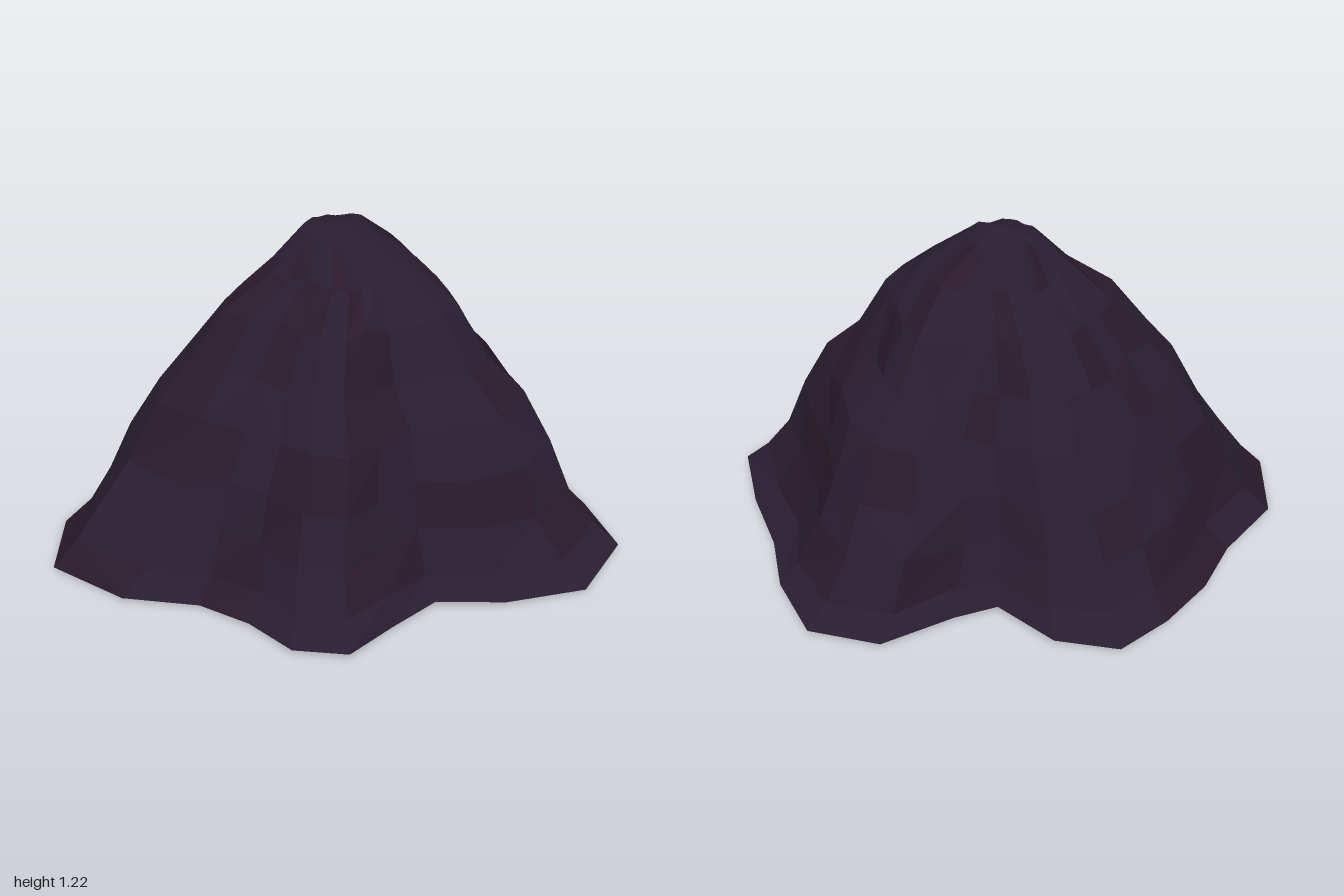
import * as THREE from 'three';

// Hem of the draped cloth: x, z, y
const HEM = [
  [1, 0.02, 0.03], [0.9, 0.26, 0.01], [0.64, 0.39, 0.02], [0.4, 0.44, 0.02], [0.28, 0.6, 0.03], [0.17, 0.76, 0.04],
  [-0.02, 0.77, 0.03], [-0.19, 0.68, 0.03], [-0.38, 0.62, 0.02], [-0.65, 0.64, 0.02], [-0.94, 0.54, 0.02], [-1, 0.28, 0.01],
  [-0.88, 0, 0.03], [-0.83, -0.2, 0.02], [-0.73, -0.4, 0.02], [-0.6, -0.55, 0], [-0.38, -0.59, 0.02], [-0.16, -0.5, 0.03],
  [-0.03, -0.59, 0.03], [0.17, -0.77, 0.03], [0.43, -0.77, 0.02], [0.6, -0.6, 0.03], [0.71, -0.4, 0.02], [0.87, -0.2, 0.02],
];
// Rings going up: height, scale of the hem outline, sideways shift
const RINGS = [
  [0.03, 1, 0], [0.105, 0.9, 0], [0.27, 0.815, -0.01], [0.44, 0.745, 0], [0.63, 0.65, 0.015],
  [0.78, 0.53, 0], [0.95, 0.415, 0.015], [1.07, 0.27, 0.03], [1.185, 0.14, 0],
];
const CX = -0.03, CZ = 0.015, MEAN = 0.76;

function seeded(seed) {
  let s = seed;
  return () => (s = (s * 16807) % 2147483647) / 2147483647;
}

function createCloth(materials) {
  const rand = seeded(4271);
  const grid = RINGS.map(([height, scale, shift], k) => HEM.map(([x, z, y]) => {
    const dx = x - CX, dz = z - CZ, r = Math.hypot(dx, dz);
    const jr = (rand() - 0.5) * 0.04, jy = (rand() - 0.5) * 0.04;
    if (k === 0) return [x, y, z];
    // folds soften towards the peak
    const blend = 0.55 * (k / 8) ** 1.6;
    const f = ((r * (1 - blend) + MEAN * blend) / r) * scale * (1 + jr);
    return [CX + shift + dx * f, height + jy * (k === 8 ? 0.3 : 1), CZ + dz * f];
  }));

  const faces = [[], []];
  const add = (tone, ...points) => points.forEach((p) => faces[tone].push(...p));
  const n = HEM.length;
  for (let k = 0; k < RINGS.length - 1; k++) {
    for (let i = 0; i < n; i++) {
      const j = (i + 1) % n;
      const a = grid[k][i], b = grid[k][j], c = grid[k + 1][j], d = grid[k + 1][i];
      const tone = rand() < 0.28 ? 1 : 0;
      if (rand() < 0.5) {
        add(tone, a, d, b);
        add(tone, b, d, c);
      } else {
        add(tone, a, d, c);
        add(tone, a, c, b);
      }
    }
  }
  // Rounded peak
  const top = grid[RINGS.length - 1];
  for (let i = 0; i < n; i++) add(0, top[i], [-0.02, 1.22, 0.02], top[(i + 1) % n]);

  const cloth = new THREE.Group();
  cloth.name = 'drapedCloth';
  faces.forEach((positions, t) => {
    const geometry = new THREE.BufferGeometry();
    geometry.setAttribute('position', new THREE.Float32BufferAttribute(positions, 3));
    geometry.computeVertexNormals();
    const mesh = new THREE.Mesh(geometry, materials[t]);
    mesh.name = t ? 'wornClothPatches' : 'clothFolds';
    cloth.add(mesh);
  });
  return cloth;
}

function createLantern(copper, iron) {
  const lantern = new THREE.Group();
  lantern.name = 'lantern';
  const part = (name, geometry, material, y) => {
    const mesh = new THREE.Mesh(geometry, material);
    mesh.name = name;
    mesh.position.y = y;
    lantern.add(mesh);
  };
  part('lanternBase', new THREE.CylinderGeometry(0.06, 0.072, 0.035, 12), copper, 0.075);
  part('lanternBody', new THREE.CylinderGeometry(0.028, 0.036, 0.09, 12), iron, 0.135);
  part('lanternCap', new THREE.CylinderGeometry(0.022, 0.042, 0.025, 12), copper, 0.185);
  part('lanternHandle', new THREE.TorusGeometry(0.02, 0.005, 6, 12), copper, 0.205);
  // Rim under the base
  const rim = new THREE.TorusGeometry(0.055, 0.008, 6, 12);
  rim.rotateX(Math.PI / 2);
  part('lanternRim', rim, copper, 0.058);
  return lantern;
}

export function createModel() {
  const mat = (name, color, flat) => {
    const m = new THREE.MeshStandardMaterial({ color });
    m.name = name;
    if (flat) {
      m.flatShading = true;
      m.side = THREE.DoubleSide;
    }
    return m;
  };
  const model = new THREE.Group();
  model.name = 'clothMound';
  model.add(createCloth([mat('dark purple cloth', 0x291e31, true), mat('dark wine cloth', 0x2a1a2b, true)]));
  model.add(createLantern(mat('copper', 0xb0431c), mat('dark iron', 0x2a1512)));
  return model;
}
